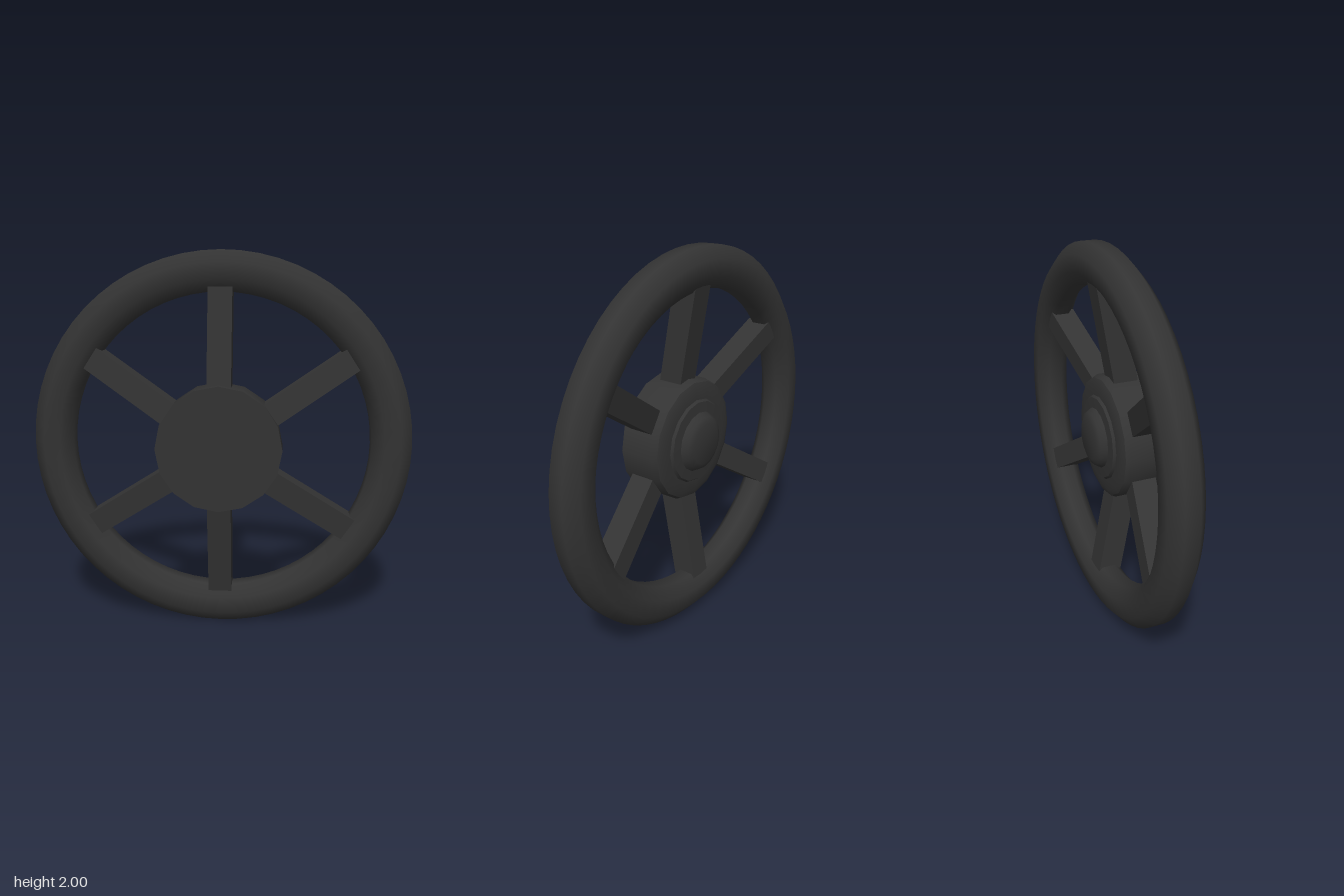
import * as THREE from 'three';
import { toCreasedNormals } from 'three/addons/utils/BufferGeometryUtils.js';

const material = new THREE.MeshStandardMaterial({ color: 0x333333 });

// Revolve (radius, z) points around the z axis, keeping sharp edges sharp.
function turned(name, points, segments, crease) {
  const profile = points.map(([r, z]) => new THREE.Vector2(r, z));
  const geometry = new THREE.LatheGeometry(profile, segments).rotateX(Math.PI / 2);
  const mesh = new THREE.Mesh(toCreasedNormals(geometry, crease), material);
  mesh.name = name;
  return mesh;
}

export function createModel() {
  const model = new THREE.Group();
  model.name = 'handwheel';
  const wheel = new THREE.Group();
  wheel.name = 'wheel';
  wheel.position.y = 1;
  model.add(wheel);

  // Rim: octagonal section swept round the wheel
  const section = [];
  for (let i = 0; i <= 8; i++) {
    const a = (i + 0.5) * Math.PI / 4;
    section.push([0.895 + 0.113 * Math.cos(a), -0.06 + 0.098 * Math.sin(a)]);
  }
  wheel.add(turned('rim', section, 64, 1));

  // Hub: flat front, chamfered back with a stepped boss
  wheel.add(turned('hub', [
    [0, -0.145], [0.11, -0.145], [0.14, -0.132], [0.16, -0.1],
    [0.215, -0.095], [0.225, -0.082], [0.285, -0.08], [0.315, -0.068],
    [0.327, -0.045], [0.327, 0.145], [0, 0.145],
  ], 16, 0.65));

  // Spokes: bars sloping back from the hub to the rim
  const inner = 0.2, outer = 0.815, depth = 0.13;
  const bar = new THREE.BoxGeometry(0.125, outer - inner, depth);
  bar.translate(0, (inner + outer) / 2, -depth / 2);
  const p = bar.attributes.position;
  for (let i = 0; i < p.count; i++) {
    p.setZ(i, p.getZ(i) + 0.013 + 0.18 * (outer - p.getY(i)));
  }
  bar.computeVertexNormals();
  for (const angle of [0, 56.5, 123.5, 180, 236.5, 303.5]) {
    const spoke = new THREE.Mesh(bar, material);
    spoke.name = 'spoke';
    spoke.rotation.z = THREE.MathUtils.degToRad(angle);
    wheel.add(spoke);
  }
  return model;
}
